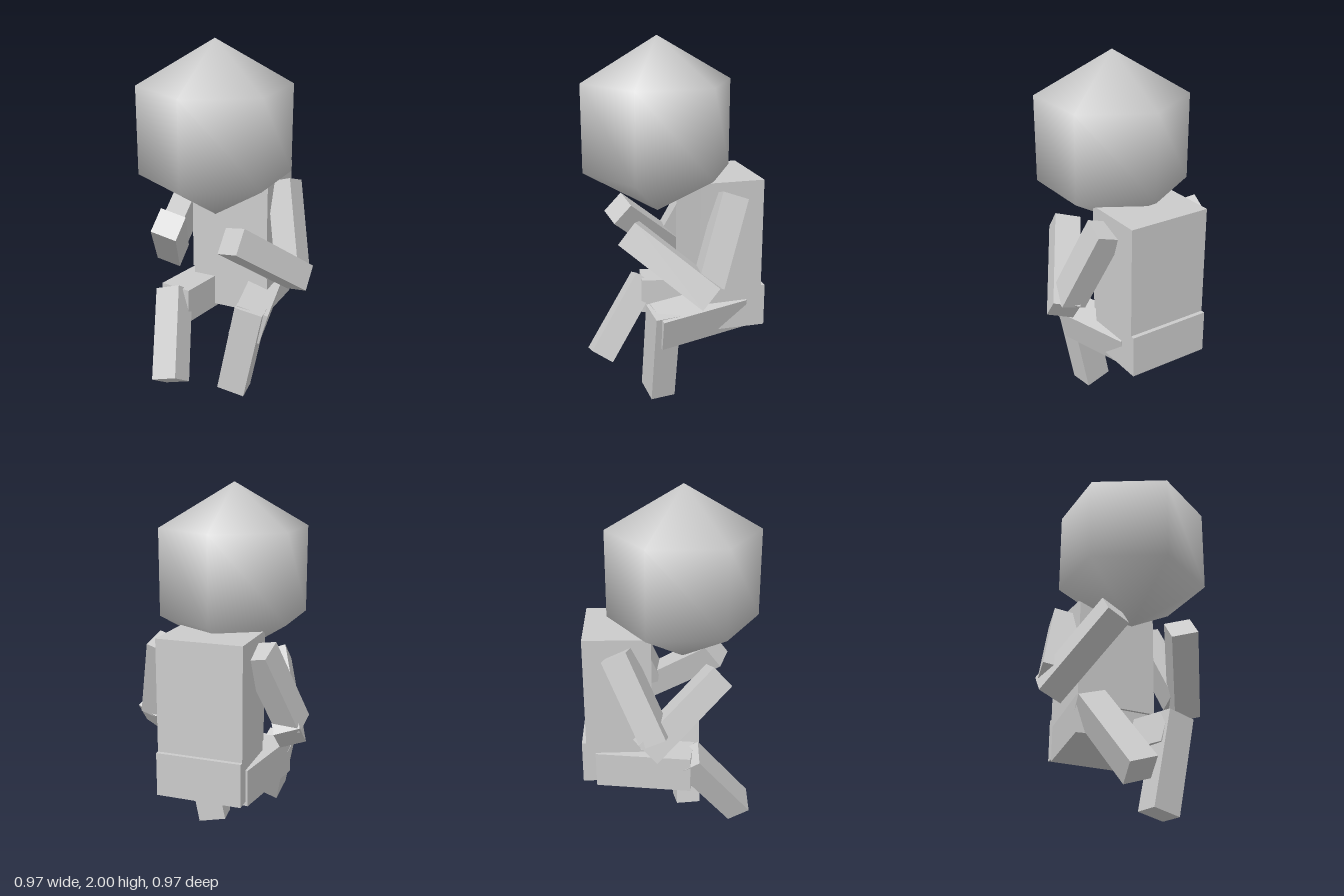
import * as THREE from 'three';

const V = (p) => new THREE.Vector3(...p);

export function createModel() {
  const group = new THREE.Group();
  const material = new THREE.MeshStandardMaterial({ color: 0xcccccc });

  function add(name, geometry, position) {
    const mesh = new THREE.Mesh(geometry, material);
    mesh.name = name;
    mesh.position.set(...position);
    group.add(mesh);
    return mesh;
  }

  // Box running from start to end; side sets which way its width points
  function limb(name, start, end, side, width, depth) {
    const a = V(start), b = V(end);
    const axis = b.clone().sub(a);
    const length = axis.length();
    axis.normalize();
    const x = V(side).addScaledVector(axis, -V(side).dot(axis)).normalize();
    const z = x.clone().cross(axis);
    const mesh = add(name, new THREE.BoxGeometry(width, length, depth), a.add(b).multiplyScalar(0.5).toArray());
    mesh.quaternion.setFromRotationMatrix(new THREE.Matrix4().makeBasis(x, axis, z));
  }

  // Head: coarse six-sided ball with smooth normals, a corner facing forward
  const head = new THREE.SphereGeometry(0.475, 6, 3);
  head.rotateY(Math.PI / 2);
  add('head', head, [-0.022, 1.525, 0.074]);

  // Body
  add('torso', new THREE.BoxGeometry(0.468, 0.615, 0.36), [-0.022, 0.938, -0.281]);
  add('hips', new THREE.BoxGeometry(0.468, 0.238, 0.365), [-0.022, 0.516, -0.302]);

  // Arms, bent forward at the elbows
  limb('leftUpperArm', [0.244, 1.179, -0.268], [0.37, 0.739, -0.098], [0.952, 0.292, 0.044], 0.143, 0.143);
  limb('rightUpperArm', [-0.28, 1.178, -0.279], [-0.413, 0.738, -0.079], [0.94, -0.21, 0.24], 0.143, 0.143);
  limb('leftForearm', [0.413, 0.681, -0.11], [0.168, 0.996, 0.28], [0.138, 0.037, 0.056], 0.147, 0.147);
  limb('rightForearm', [-0.415, 0.675, -0.14], [-0.215, 1.02, 0.26], [0.132, -0.042, -0.03], 0.145, 0.143);

  // Legs, seated with the knees apart
  limb('leftThigh', [0.11, 0.49, -0.36], [0.21, 0.455, 0.145], [0.175, -0.048, -0.035], 0.18, 0.19);
  limb('rightThigh', [-0.175, 0.475, -0.395], [-0.26, 0.48, 0.12], [1, 0, 0.2], 0.19, 0.2);
  limb('leftShin', [0.215, 0.55, 0.105], [0.11, 0.02, 0.11], [0.16, -0.035, -0.02], 0.16, 0.14);
  limb('rightShin', [-0.28, 0.55, 0.095], [-0.148, 0.143, 0.395], [0.148, 0.048, 0], 0.155, 0.14);

  return group;
}
